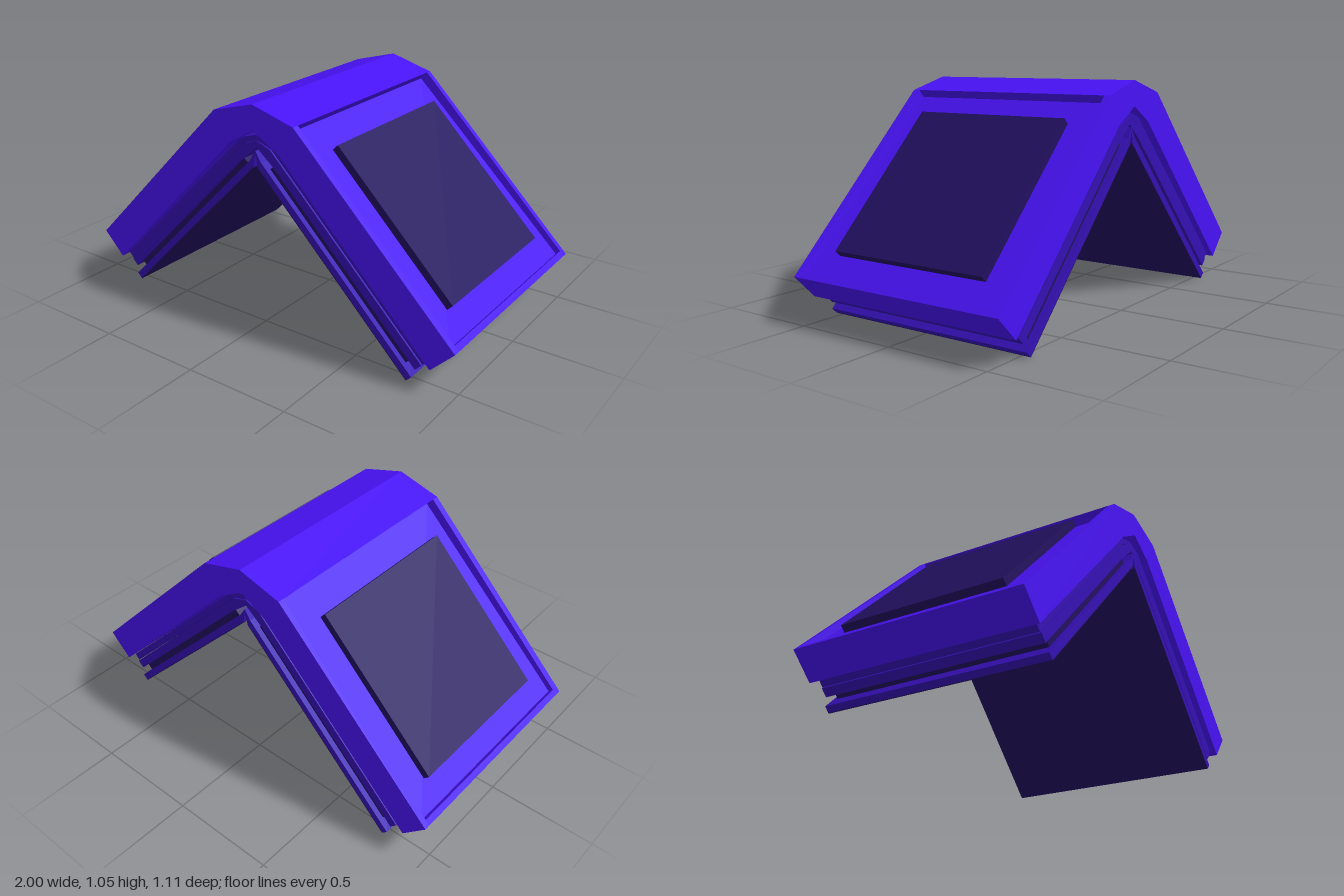
import * as THREE from 'three';

const paint = (color) => new THREE.MeshStandardMaterial({ color, flatShading: true });

// Extrude a closed x/y outline between two depths
function slab(name, points, z0, z1, material) {
  const shape = new THREE.Shape(points.map(([x, y]) => new THREE.Vector2(x, y)));
  const geometry = new THREE.ExtrudeGeometry(shape, { depth: z1 - z0, bevelEnabled: false });
  geometry.translate(0, 0, z0);
  const mesh = new THREE.Mesh(geometry, material);
  mesh.name = name;
  return mesh;
}

const flip = (points) => points.map(([x, y]) => [-x, y]);

// Complete a half outline that starts and ends on the fold line
const fold = (half) => [...half, ...flip(half.slice(1, -1)).reverse()];

export function createModel() {
  const model = new THREE.Group();
  model.name = 'openBook';
  const blue = paint(0x4812f5);
  const pageBlue = paint(0x3510b4);
  const dark = paint(0x220f60);

  // Cover: full section at both rims, recessed boards between them
  const inner = [[1, 0.21], [0.89, 0.1], [0.13, 0.86], [0, 0.935]];
  const rim = fold([[0, 1.05], [0.215, 0.99], ...inner]);
  const recessed = fold([[0, 1.05], [0.215, 0.99], [0.182, 0.955], [0.96, 0.21], [0.98, 0.23], ...inner]);
  const cover = new THREE.Group();
  cover.name = 'cover';
  cover.add(
    slab('frontRim', rim, 0.52, 0.553, blue),
    slab('boards', recessed, -0.525, 0.52, blue),
    slab('backRim', rim, -0.553, -0.525, blue),
  );
  model.add(cover);

  // Folded page layers nested under the cover
  const outerPages = fold([[0, 0.91], [0.085, 0.885], [0.867, 0.118], [0.8425, 0.0925], [0.075, 0.86], [0, 0.885]]);
  const middlePages = fold([[0, 0.885], [0.075, 0.855], [0.84, 0.09], [0.81, 0.06], [0.085, 0.785], [0, 0.855]]);
  const innerPages = fold([[0, 0.842], [0.03, 0.795], [0.8, 0.025], [0.7775, 0.0025], [0.012, 0.768], [0, 0.83]]);
  model.add(
    slab('outerPages', outerPages, -0.525, 0.525, pageBlue),
    slab('middlePages', middlePages, -0.53, 0.53, pageBlue),
    slab('innerPages', innerPages, -0.54, 0.54, pageBlue),
  );

  // Parts repeated on each half
  const panel = [[0.33, 0.895], [0.9, 0.325], [0.875, 0.3], [0.305, 0.87]];
  const filler = [[0.085, 0.785], [0.78, 0.09], [0.7575, 0.0675], [0.06, 0.765]];
  const sheet = [[0.012, 0.768], [0.7775, 0.0025], [0.775, 0], [0.012, 0.763]];
  for (const [side, place] of [['left', (p) => p], ['right', flip]]) {
    model.add(
      slab(side + 'CoverPanel', place(panel), -0.4, 0.4, dark),
      slab(side + 'PageFiller', place(filler), -0.515, 0.515, dark),
      slab(side + 'InnerSheet', place(sheet), -0.54, 0.54, dark),
    );
  }
  return model;
}
